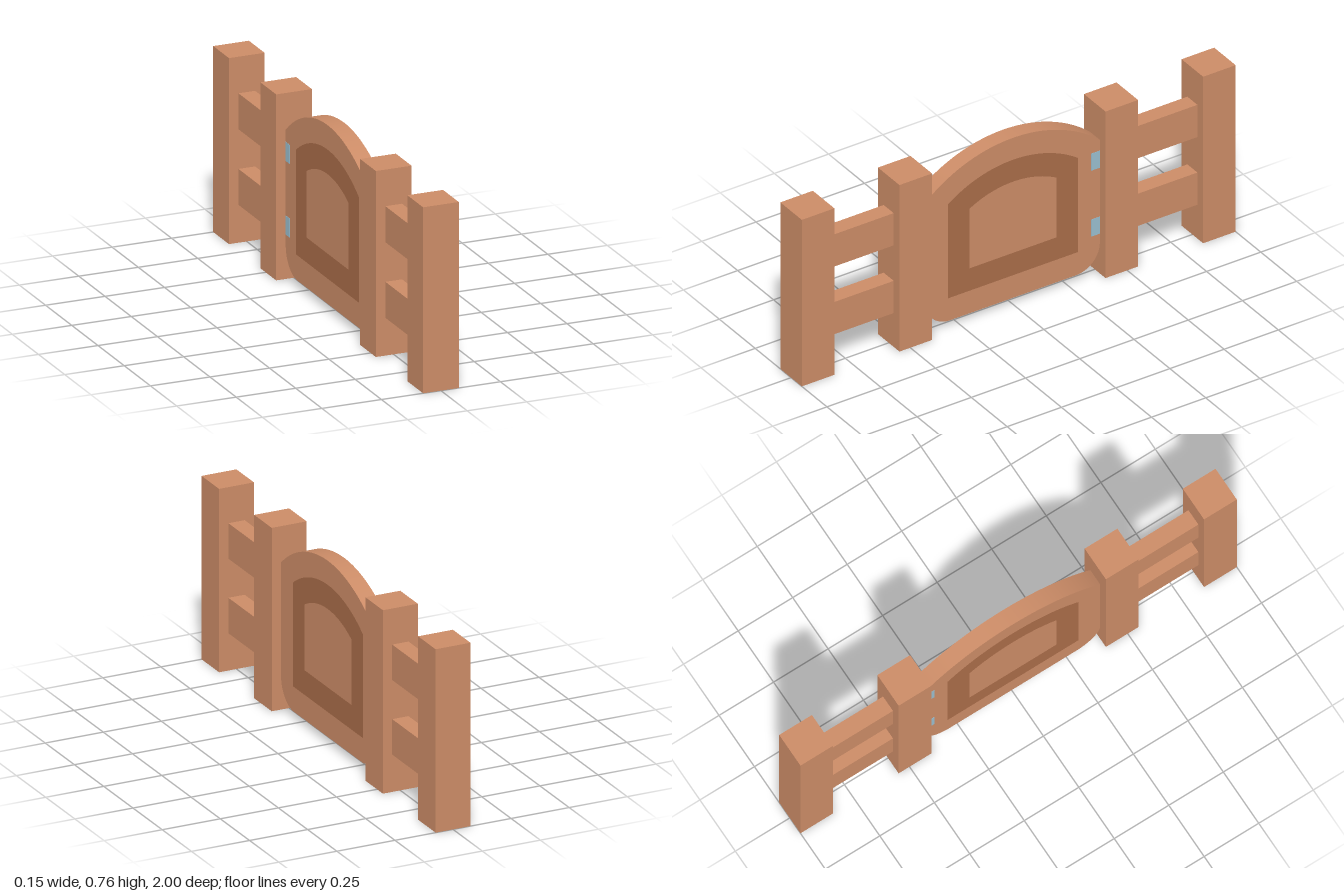
import * as THREE from 'three';
import { toCreasedNormals } from 'three/addons/utils/BufferGeometryUtils.js';

const ARCH_Y = 0.152; // shared centre height of the concentric arches
const GATE_T = 0.07;

// Closed outline: flat bottom with optional rounded corners, arched top
function archOutline(target, halfW, bottom, radius, corner = 0) {
  const rise = Math.sqrt(radius * radius - halfW * halfW);
  const a = Math.atan2(rise, halfW);
  target.moveTo(-halfW + corner, bottom);
  target.lineTo(halfW - corner, bottom);
  if (corner) target.absarc(halfW - corner, bottom + corner, corner, -Math.PI / 2, 0, false);
  target.lineTo(halfW, ARCH_Y + rise);
  target.absarc(0, ARCH_Y, radius, a, Math.PI - a, false);
  if (corner) {
    target.lineTo(-halfW, bottom + corner);
    target.absarc(-halfW + corner, bottom + corner, corner, Math.PI, Math.PI * 1.5, false);
  }
  target.closePath();
  return target;
}

export function createModel() {
  const group = new THREE.Group();
  const wood = new THREE.MeshStandardMaterial({ color: 0xcc8c67 });
  const darkWood = new THREE.MeshStandardMaterial({ color: 0xaa6d49 });
  const metal = new THREE.MeshStandardMaterial({ color: 0x9abfd0 });

  const add = (name, geometry, material, x = 0, y = 0, z = 0) => {
    const mesh = new THREE.Mesh(geometry, material);
    mesh.name = name;
    mesh.position.set(x, y, z);
    group.add(mesh);
  };

  // Posts and rails, mirrored on both sides of the gate
  const post = new THREE.BoxGeometry(0.15, 0.76, 0.15);
  const rail = new THREE.BoxGeometry(GATE_T, 0.147, 0.3);
  for (const s of [1, -1]) {
    add('outerPost', post, wood, 0, 0.38, s * 0.925);
    add('gatePost', post, wood, 0, 0.38, s * 0.475);
    for (const y of [0.228, 0.537]) add('rail', rail, wood, 0, y, s * 0.7);
  }

  // Gate: frame, dark inlaid band and centre panel, all flush
  const outlines = [
    [0.4, 0.03, 0.608, 0.11],
    [0.3, 0.133, 0.508],
    [0.2, 0.235, 0.408],
  ];
  ['gateFrame', 'gateInlay', 'gatePanel'].forEach((name, i) => {
    const shape = archOutline(new THREE.Shape(), ...outlines[i]);
    if (i < 2) shape.holes.push(archOutline(new THREE.Path(), ...outlines[i + 1]));
    const geo = new THREE.ExtrudeGeometry(shape, { depth: GATE_T, bevelEnabled: false, curveSegments: 32 });
    geo.translate(0, 0, -GATE_T / 2).rotateY(Math.PI / 2);
    add(name, toCreasedNormals(geo, 0.5), i === 1 ? darkWood : wood);
  });

  // Hinge plates on both faces
  const hinge = new THREE.BoxGeometry(0.002, 0.078, 0.04);
  for (const s of [1, -1]) {
    for (const y of [0.221, 0.522]) add('hinge', hinge, metal, s * GATE_T / 2, y, -0.38);
  }
  return group;
}
